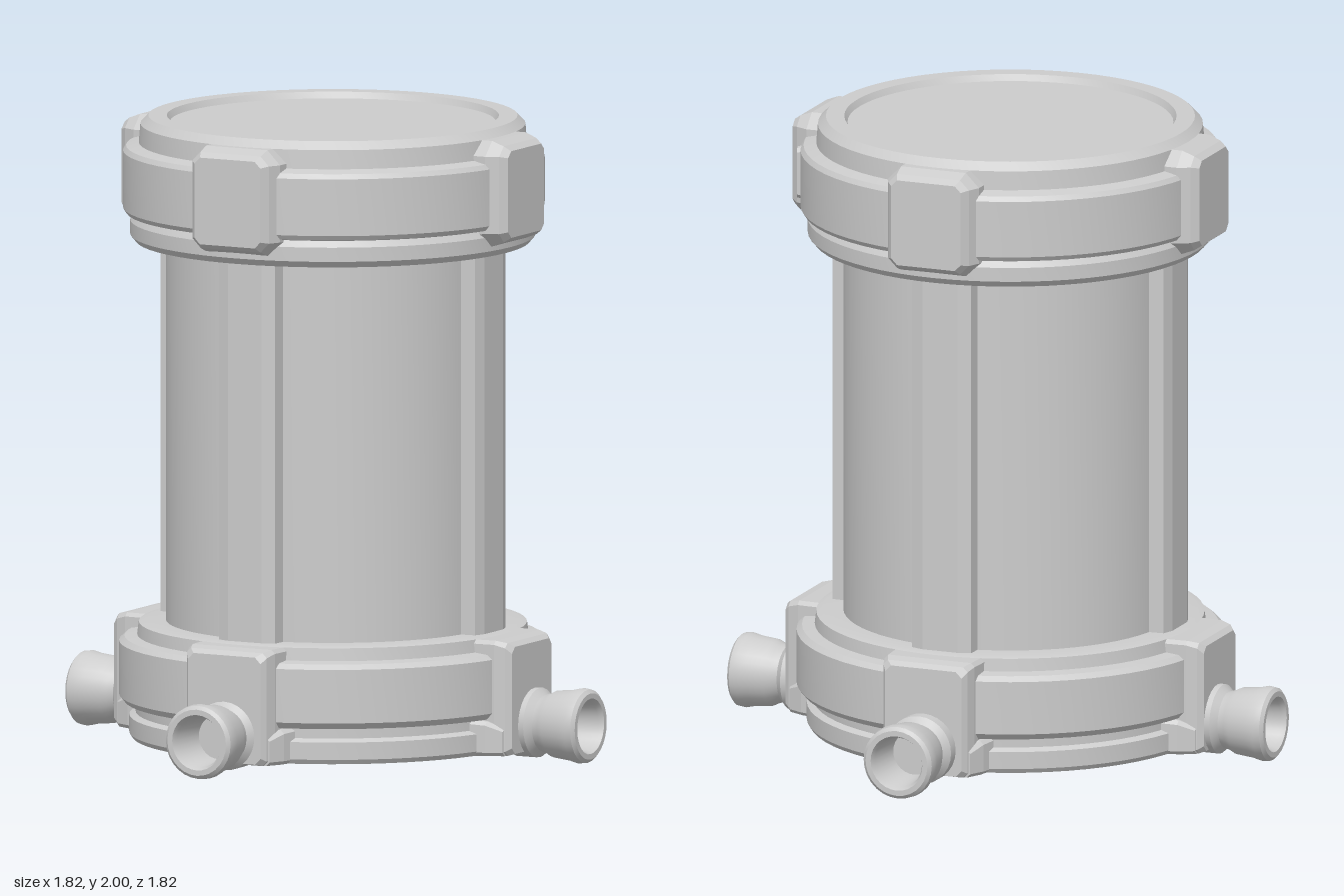
import * as THREE from 'three';
import { toCreasedNormals } from 'three/addons/utils/BufferGeometryUtils.js';

const material = new THREE.MeshStandardMaterial({ color: 0xcccccc });

function addMesh(parent, name, geometry) {
  const mesh = new THREE.Mesh(geometry, material);
  mesh.name = name;
  parent.add(mesh);
  return mesh;
}

// Turned part from [radius, height] pairs, listed bottom to top along the outside
function turned(profile, segments) {
  const points = profile.map(([r, y]) => new THREE.Vector2(r, y));
  return toCreasedNormals(new THREE.LatheGeometry(points, segments), 0.45);
}

// Block lofted outward along +z; sections are [z, halfWidth, yLow, yHigh, cornerCut]
function loftedBlock(sections) {
  const rings = sections.map(([z, w, lo, hi, c]) => [
    [w, lo + c, z], [w, hi - c, z], [w - c, hi, z], [c - w, hi, z],
    [-w, hi - c, z], [-w, lo + c, z], [c - w, lo, z], [w - c, lo, z],
  ]);
  const position = [];
  const triangle = (a, b, c) => position.push(...a, ...b, ...c);
  for (let s = 0; s < rings.length - 1; s++) {
    for (let i = 0; i < 8; i++) {
      const j = (i + 1) % 8;
      const a = rings[s][i], b = rings[s][j], c = rings[s + 1][j], d = rings[s + 1][i];
      triangle(a, b, c);
      triangle(a, c, d);
    }
  }
  const first = rings[0], last = rings[rings.length - 1];
  for (let i = 1; i < 7; i++) {
    triangle(last[0], last[i], last[i + 1]);
    triangle(first[0], first[i + 1], first[i]);
  }
  const geometry = new THREE.BufferGeometry();
  geometry.setAttribute('position', new THREE.Float32BufferAttribute(position, 3));
  geometry.computeVertexNormals();
  return geometry;
}

export function createModel() {
  const model = new THREE.Group();
  model.name = 'canister';

  // The drum sits slightly forward of the nozzle ring
  const drum = new THREE.Group();
  drum.name = 'drum';
  drum.position.z = 0.02;
  model.add(drum);

  addMesh(drum, 'barrel', turned([[0.525, 0.36], [0.525, 1.64]], 64));

  addMesh(drum, 'baseCollar', turned([
    [0, 0.03], [0.63, 0.03], [0.64, 0.045], [0.64, 0.1], [0.62, 0.11], [0.62, 0.14],
    [0.655, 0.145], [0.672, 0.165], [0.672, 0.335], [0.655, 0.35], [0.615, 0.355],
    [0.61, 0.395], [0.59, 0.4], [0.5, 0.4],
  ], 64));

  // Lid with a shallow sunken disc
  addMesh(drum, 'lidCollar', turned([
    [0.5, 1.605], [0.62, 1.605], [0.637, 1.625], [0.637, 1.67], [0.625, 1.69],
    [0.65, 1.695], [0.66, 1.71], [0.66, 1.89], [0.65, 1.905], [0.61, 1.915],
    [0.605, 1.975], [0.58, 2.0], [0.522, 2.0], [0.512, 1.98], [0, 1.98],
  ], 64));

  // Raised strip running up the barrel
  const barrelRib = loftedBlock([
    [0.48, 0.105, 0.36, 1.64, 0.005],
    [0.563, 0.1, 0.36, 1.64, 0.005],
    [0.576, 0.06, 0.36, 1.64, 0.005],
  ]);
  const lidLug = loftedBlock([
    [0.54, 0.155, 1.63, 1.975, 0.045],
    [0.63, 0.155, 1.64, 1.975, 0.045],
    [0.67, 0.137, 1.655, 1.96, 0.03],
    [0.692, 0.118, 1.67, 1.945, 0.02],
  ]);
  const baseLug = loftedBlock([
    [0.53, 0.16, 0.03, 0.395, 0.012],
    [0.66, 0.153, 0.03, 0.395, 0.012],
    [0.695, 0.143, 0.03, 0.388, 0.015],
    [0.712, 0.13, 0.035, 0.375, 0.02],
  ]);
  // Wider foot under each base lug
  const lugFoot = loftedBlock([
    [0.5, 0.21, 0.03, 0.15, 0.012],
    [0.64, 0.175, 0.03, 0.14, 0.012],
    [0.69, 0.15, 0.03, 0.12, 0.012],
  ]);
  // Hollow flared nozzle, its bore closed inside
  const nozzle = turned([
    [0.11, 0.66], [0.11, 0.73], [0.09, 0.75], [0.096, 0.772], [0.106, 0.792],
    [0.112, 0.85], [0.119, 0.88], [0.116, 0.902], [0.105, 0.912], [0.088, 0.912],
    [0.08, 0.895], [0.07, 0.77], [0, 0.77],
  ], 28);
  nozzle.rotateX(Math.PI / 2);
  nozzle.translate(0, 0.12, 0);

  // Four sets of ribs, lugs and nozzles around the drum
  ['front', 'left', 'back', 'right'].forEach((side, i) => {
    const angle = i * Math.PI / 2;
    addMesh(drum, side + 'BarrelRib', barrelRib).rotation.y = angle;
    addMesh(drum, side + 'LidLug', lidLug).rotation.y = angle;
    addMesh(drum, side + 'BaseLug', baseLug).rotation.y = angle;
    addMesh(drum, side + 'LugFoot', lugFoot).rotation.y = angle;
    addMesh(model, side + 'Nozzle', nozzle).rotation.y = angle;
  });

  // Small raised catch on the lid collar
  const catchBlock = addMesh(drum, 'lidCatch', loftedBlock([
    [0.62, 0.03, 1.72, 1.9, 0.012],
    [0.67, 0.022, 1.73, 1.89, 0.012],
  ]));
  catchBlock.rotation.y = Math.PI / 2 + 0.35;

  return model;
}
